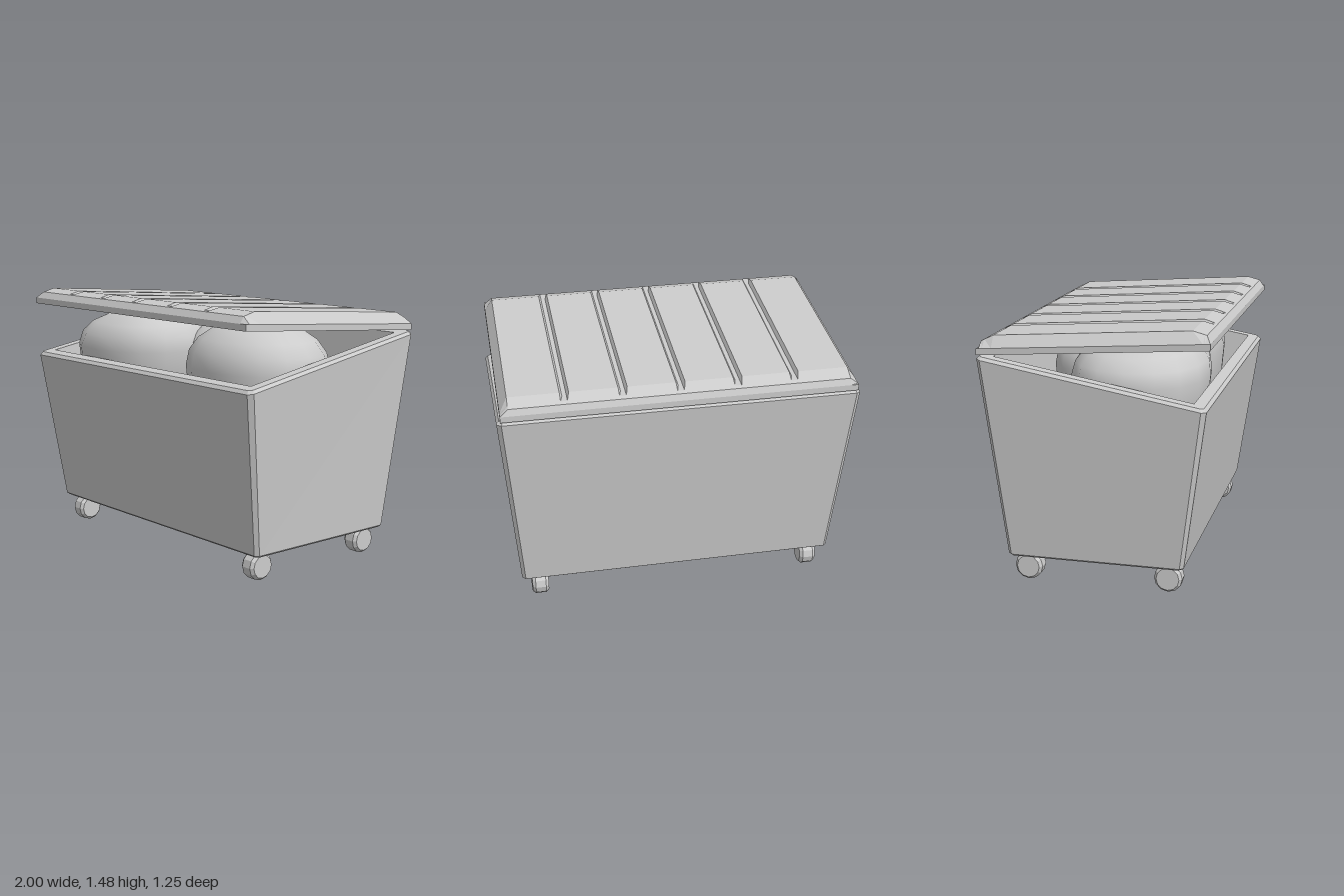
import * as THREE from 'three';
import { mergeVertices } from 'three/addons/utils/BufferGeometryUtils.js';

const grey = () => new THREE.MeshStandardMaterial({ color: 0xcccccc, side: THREE.DoubleSide });

// Collects quads into a hard-edged geometry
class Facets {
  constructor() { this.p = []; }
  quad(a, b, c, d) { this.p.push(...a, ...b, ...c, ...a, ...c, ...d); }
  fan(ring) {
    for (let i = 1; i < ring.length - 1; i++) this.p.push(...ring[0], ...ring[i], ...ring[i + 1]);
  }
  loft(rings) {
    for (let r = 0; r < rings.length - 1; r++) {
      const lo = rings[r], hi = rings[r + 1], n = lo.length;
      for (let i = 0; i < n; i++) {
        const j = (i + 1) % n;
        this.quad(lo[i], lo[j], hi[j], hi[i]);
      }
    }
  }
  mesh(name) {
    const g = new THREE.BufferGeometry();
    g.setAttribute('position', new THREE.Float32BufferAttribute(this.p, 3));
    g.computeVertexNormals();
    const m = new THREE.Mesh(g, grey());
    m.name = name;
    return m;
  }
}

// Rectangle with cut corners, counter-clockwise from above; y follows z
function ring(hx, zf, zb, cut, y) {
  return [
    [-hx + cut, zf], [hx - cut, zf], [hx, zf - cut], [hx, zb + cut],
    [hx - cut, zb], [-hx + cut, zb], [-hx, zb + cut], [-hx, zf - cut],
  ].map(([x, z]) => [x, y(z), z]);
}

// Tapered bin with a sloping rim and hollow inside
function makeBody() {
  const f = new Facets();
  const rim = (drop) => (z) => 1.187 - 0.178 * z - drop;
  const rings = [
    ring(0.905, 0.475, -0.485, 0.015, () => 0.155),
    ring(0.918, 0.49, -0.5, 0.02, () => 0.167),
    ring(1.0, 0.615, -0.625, 0.025, rim(0.017)),
    ring(0.985, 0.6, -0.61, 0.018, rim(0)),
    ring(0.92, 0.54, -0.55, 0.002, rim(0)),
    ring(0.86, 0.43, -0.44, 0.002, () => 0.25),
  ];
  f.loft(rings);
  f.fan([...rings[0]].reverse());
  f.fan(rings[5]);
  return f.mesh('binBody');
}

// Piecewise linear lookup through [position, height] pairs
function lookup(table, v) {
  for (let i = 0; i < table.length - 1; i++) {
    const [a, ha] = table[i], [b, hb] = table[i + 1];
    if (v >= a && v <= b) return ha + (hb - ha) * (v - a) / (b - a);
  }
  return table[table.length - 1][1];
}

// Tilted lid: bevelled, grooved top and a recessed underside
function makeLid() {
  const f = new Facets();
  const base = (h) => (z) => 1.342 + 0.068 * z + h;
  const top = 0.098, edge = 0.035, floor = 0.077;
  const along = [[-0.625, edge], [-0.61, 0.069], [-0.54, top], [0.53, top], [0.605, 0.073], [0.63, edge]];
  const across = [[-0.98, edge], [-0.935, top], [0.935, top], [0.98, edge]];

  const xs = [[-0.98], [-0.935]];
  for (let i = -2; i <= 2; i++) {
    const c = i * 0.315;
    xs.push([c - 0.025], [c - 0.012, true], [c + 0.012, true], [c + 0.025]);
  }
  xs.push([0.935], [0.98]);
  const zs = [0.63, 0.605, 0.593, 0.53, -0.54, -0.591, -0.61, -0.625];
  const point = ([x, groove], z) => {
    let h = Math.min(lookup(along, z), lookup(across, x));
    if (groove) h = Math.min(h, floor);
    return [x, base(h)(z), z];
  };
  for (let i = 0; i < xs.length - 1; i++)
    for (let k = 0; k < zs.length - 1; k++)
      f.quad(point(xs[i], zs[k]), point(xs[i + 1], zs[k]), point(xs[i + 1], zs[k + 1]), point(xs[i], zs[k + 1]));

  const under = [
    ring(0.92, 0.57, -0.565, 0, base(0.055)),
    ring(0.92, 0.57, -0.565, 0, base(0)),
    ring(0.98, 0.63, -0.625, 0, base(0)),
    ring(0.98, 0.63, -0.625, 0, base(edge)),
  ];
  f.loft(under);
  f.fan([...under[0]].reverse());
  return f.mesh('lid');
}

// Soft, sagging rubbish bag: a squashed sphere, leaning, deeper below
function makeBag(name, centre, radii, lean, box) {
  let g = new THREE.SphereGeometry(1, 16, 10);
  g.deleteAttribute('uv');
  g.deleteAttribute('normal');
  g = mergeVertices(g, 1e-4);
  const p = g.attributes.position;
  const puff = (v) => Math.sign(v) * Math.abs(v) ** box;
  for (let i = 0; i < p.count; i++) {
    const x = p.getX(i), y = p.getY(i), z = p.getZ(i);
    const up = Math.max(y, 0);
    p.setXYZ(i,
      centre[0] + radii[0] * (puff(x) + lean * up * (1 - Math.abs(x))),
      centre[1] + radii[1] * (y > 0 ? puff(y) : y * 2.2),
      centre[2] + radii[2] * puff(z));
  }
  g.computeVertexNormals();
  const m = new THREE.Mesh(g, grey());
  m.name = name;
  return m;
}

// Small twelve-sided castor with bevelled edges
function makeWheel() {
  const profile = [[0, -0.048], [0.064, -0.048], [0.079, -0.03], [0.079, 0.03], [0.064, 0.048], [0, 0.048]]
    .map(([r, h]) => new THREE.Vector2(r, h));
  const g = new THREE.LatheGeometry(profile, 12).toNonIndexed();
  g.rotateZ(Math.PI / 2);
  g.computeVertexNormals();
  return new THREE.Mesh(g, grey());
}

export function createModel() {
  const model = new THREE.Group();
  model.name = 'wheeledBin';
  model.add(makeBody(), makeLid());

  model.add(
    makeBag('rightBag', [-0.475, 1.14, 0.16], [0.44, 0.235, 0.385], 0.3, 0.9),
    makeBag('leftBag', [0.48, 1.1, 0.1], [0.44, 0.268, 0.355], 0, 0.92),
    makeBag('backBag', [0, 1.08, -0.15], [0.32, 0.25, 0.33], 0, 1),
  );

  for (const [side, x] of [['left', 0.812], ['right', -0.812]])
    for (const [end, z] of [['Front', 0.393], ['Back', -0.403]]) {
      const wheel = makeWheel();
      wheel.name = `${side}${end}Wheel`;
      wheel.position.set(x, 0.079, z);
      model.add(wheel);
    }
  return model;
}
